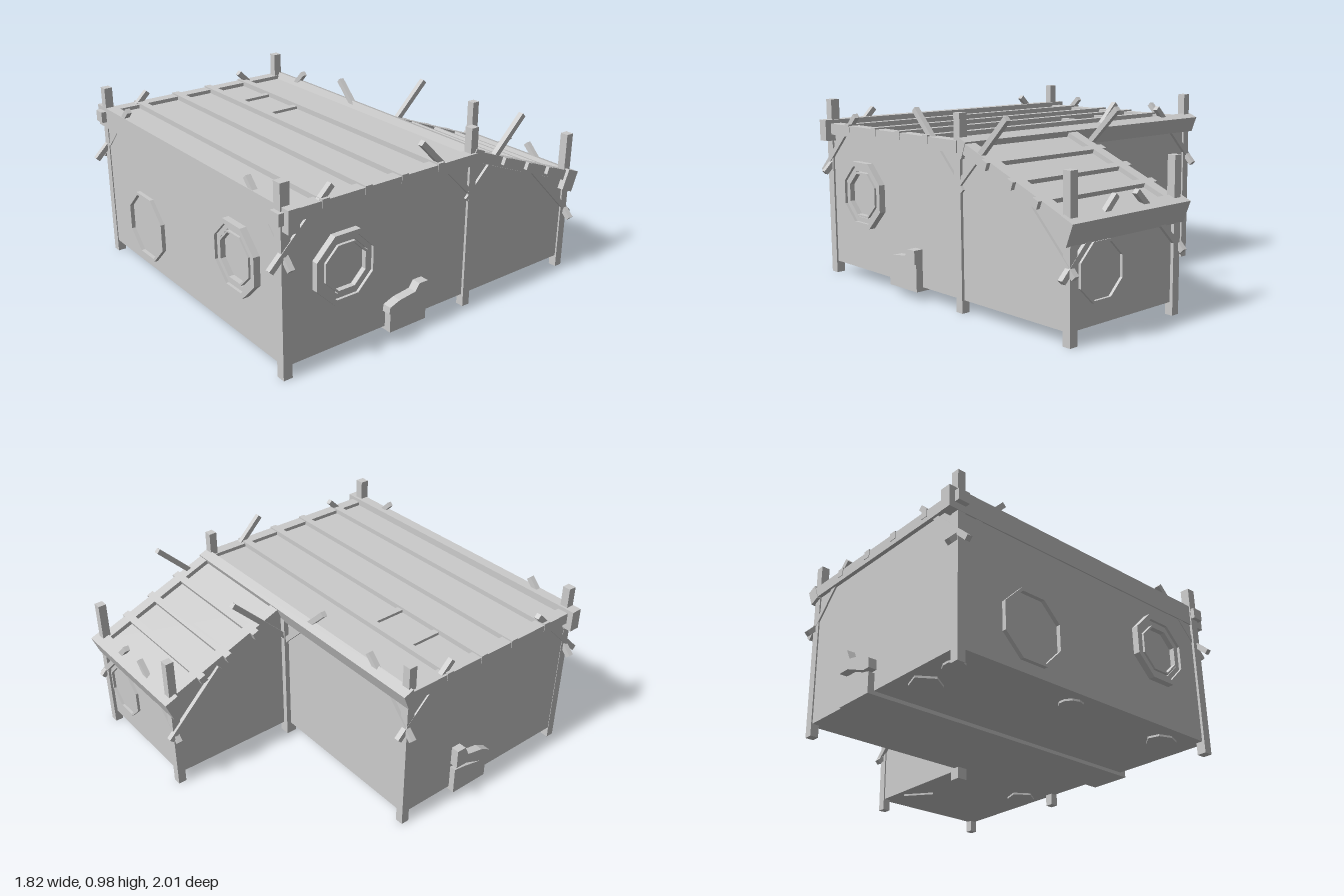
import * as THREE from 'three';

const mat = new THREE.MeshStandardMaterial({ color: 0xcccccc, flatShading: true, side: THREE.DoubleSide });

export function createModel() {
  const model = new THREE.Group();

  const add = (name, geo, x = 0, y = 0, z = 0) => {
    const m = new THREE.Mesh(geo, mat);
    m.name = name;
    m.position.set(x, y, z);
    model.add(m);
    return m;
  };
  // box given by its lower and upper limits
  const block = (name, x0, x1, y0, y1, z0, z1) =>
    add(name, new THREE.BoxGeometry(x1 - x0, y1 - y0, z1 - z0), (x0 + x1) / 2, (y0 + y1) / 2, (z0 + z1) / 2);
  // square bar between two points
  const bar = (name, a, b, w = 0.028, d = w) => {
    const p = new THREE.Vector3(...a), q = new THREE.Vector3(...b);
    const dir = q.clone().sub(p);
    const m = add(name, new THREE.BoxGeometry(w, dir.length(), d));
    m.position.copy(p).add(q).multiplyScalar(0.5);
    m.quaternion.setFromUnitVectors(new THREE.Vector3(0, 1, 0), dir.normalize());
    return m;
  };
  // profile in (z, y) extruded along x from x0 to x1
  const sideProfile = (name, pts, x0, x1) => {
    const shape = new THREE.Shape(pts.map(([z, y]) => new THREE.Vector2(-z, y)));
    const geo = new THREE.ExtrudeGeometry(shape, { depth: x1 - x0, bevelEnabled: false });
    geo.rotateY(Math.PI / 2);
    return add(name, geo, x0, 0, 0);
  };

  // Rooms
  block('mainRoom', -0.855, 0.85, 0.065, 0.8, -0.225, 0.925);
  sideProfile('backRoom', [[-0.2, 0.065], [-0.945, 0.065], [-0.945, 0.51], [-0.2, 0.8]], 0.125, 0.85);

  // Main roof: deck, side beams, end beams and battens
  block('roofDeck', -0.85, 0.85, 0.79, 0.825, -0.22, 0.92);
  for (const s of [-1, 1]) block('sideBeam', s * 0.845 - 0.032, s * 0.845 + 0.032, 0.785, 0.845, -0.22, 0.96);
  block('frontBeam', -0.91, 0.91, 0.75, 0.865, 0.872, 0.932);
  for (const z of [0.02, 0.25, 0.465, 0.71]) block('batten', -0.88, 0.88, 0.81, 0.853, z - 0.02, z + 0.02);
  for (const x of [-0.56, -0.285]) block('roofSlat', x - 0.018, x + 0.018, 0.82, 0.84, 0.04, 0.23);

  // Sloping back roof
  const slope = Math.atan2(0.285, 0.73);
  const roofY = z => 0.825 + (z + 0.22) * 0.39;
  const tilted = (name, x0, x1, y, z, h, d) => {
    const m = add(name, new THREE.BoxGeometry(x1 - x0, h, d), (x0 + x1) / 2, y, z);
    m.rotation.x = -slope;
    return m;
  };
  tilted('ridgeBeam', -0.88, 0.87, 0.81, -0.235, 0.09, 0.06);
  tilted('backRoofDeck', 0.13, 0.85, roofY(-0.58) - 0.012, -0.58, 0.03, 0.77);
  for (const x of [0.15, 0.835]) tilted('rafter', x - 0.032, x + 0.032, roofY(-0.58), -0.58, 0.055, 0.78);
  for (const z of [-0.43, -0.605, -0.77]) tilted('backBatten', 0.09, 0.888, roofY(z) + 0.008, z, 0.04, 0.04);
  tilted('backBeam', 0.09, 0.885, 0.52, -0.945, 0.115, 0.08);

  // Posts
  const post = (x, z, h, w = 0.045) => block('post', x - w / 2, x + w / 2, 0, h, z - w / 2, z + w / 2);
  post(-0.835, 0.908, 0.975);
  post(0.835, 0.914, 0.975, 0.05);
  post(-0.84, -0.213, 0.975);
  post(0.842, -0.21, 0.975);
  post(0.125, -0.222, 0.78, 0.06);
  post(0.14, -0.94, 0.78);
  post(0.837, -0.94, 0.78);

  // Diagonal braces across the posts
  for (const s of [-1, 1]) {
    bar('frontBrace', [s * 0.9, 0.57, 0.915], [s * 0.57, 0.91, 0.915]);
    bar('frontSideBrace', [s * 0.85, 0.57, 0.995], [s * 0.85, 0.9, 0.66]);
  }
  bar('ridgeBrace', [-0.9, 0.57, -0.23], [-0.57, 0.91, -0.23]);
  bar('ridgeBrace', [0.17, 0.57, -0.23], [-0.22, 0.955, -0.23]);
  bar('ridgeSideBrace', [-0.85, 0.57, -0.28], [-0.85, 0.9, 0.05]);
  bar('ridgeSideBrace', [0.85, 0.6, -0.24], [0.85, 0.97, 0.13]);
  for (const [x, px] of [[0.115, 0.115], [0.85, 0.85]]) {
    bar('slopeBrace', [x, 0.6, -0.18], [x, 0.97, -0.555]);
    bar('endSideBrace', [px, 0.315, -0.985], [px, 0.64, -0.66]);
  }
  bar('endBrace', [0.9, 0.3, -0.95], [0.56, 0.64, -0.95]);
  bar('endBrace', [0.085, 0.3, -0.95], [0.425, 0.64, -0.95]);

  // Octagonal windows: r is half the width across the flats
  const octagon = (r, Type) => {
    const R = r / Math.cos(Math.PI / 8), p = [];
    for (let i = 0; i < 8; i++) {
      const a = (i + 0.5) * Math.PI / 4;
      p.push(new THREE.Vector2(R * Math.cos(a), R * Math.sin(a)));
    }
    return new Type(p);
  };
  const ring = (r, inner, depth) => {
    const shape = octagon(r, THREE.Shape);
    shape.holes.push(octagon(inner, THREE.Path));
    return new THREE.Mesh(new THREE.ExtrudeGeometry(shape, { depth, bevelEnabled: false }), mat);
  };
  const windowAt = (x, y, z, turn, rings) => {
    const g = new THREE.Group();
    g.name = 'window';
    for (const [r, inner, depth] of rings) {
      const m = ring(r, inner, depth);
      m.name = 'windowFrame';
      g.add(m);
    }
    g.position.set(x, y, z);
    g.rotation.y = turn;
    model.add(g);
  };
  const framed = r => [[r, r - 0.025, 0.035], [r - 0.025, r - 0.05, 0.02], [r - 0.055, r - 0.065, 0.028]];
  windowAt(-0.412, 0.303, 0.925, 0, [[0.18, 0.165, 0.022]]);
  windowAt(0.49, 0.482, 0.925, 0, framed(0.18));
  windowAt(0.85, 0.482, 0.59, Math.PI / 2, framed(0.175));
  windowAt(0.65, 0.31, -0.945, Math.PI, [[0.14, 0.128, 0.015]]);

  // Trough through the floor, showing as a box with a curled lip on both sides
  block('trough', -0.88, 0.88, 0.045, 0.12, 0.1, 0.33);
  for (const s of [-1, 1]) {
    const x0 = s > 0 ? 0.84 : -0.89, x1 = x0 + 0.05;
    sideProfile('spoutBox', [[0.1, 0.045], [0.33, 0.045], [0.33, 0.155], [0.26, 0.17], [0.17, 0.19], [0.1, 0.2]], x0, x1);
    const lip = sideProfile('spoutLip', [[0.345, 0.155], [0.34, 0.19], [0.28, 0.212], [0.18, 0.225], [0.155, 0.262],
      [0.1, 0.262], [0.1, 0.19], [0.17, 0.19], [0.3, 0.155]], s > 0 ? 0.85 : -0.9, s > 0 ? 0.9 : -0.85);
    if (s < 0) { lip.scale.y = 1.5; lip.position.y = -0.065; }
  }

  // Thin patches under the floor
  for (const [x, z, rx, rz, n] of [[0.72, -0.345, 0.09, 0.08, 5], [0.27, -0.77, 0.11, 0.14, 4], [0.63, 0.8, 0.09, 0.07, 7],
    [-0.06, 0.82, 0.065, 0.06, 10], [-0.73, 0.56, 0.09, 0.08, 5], [-0.75, 0.78, 0.05, 0.06, 10]]) {
    add('floorPatch', new THREE.CylinderGeometry(1, 1, 0.014, n), x, 0.061, z).scale.set(rx, 1, rz);
  }

  return model;
}
